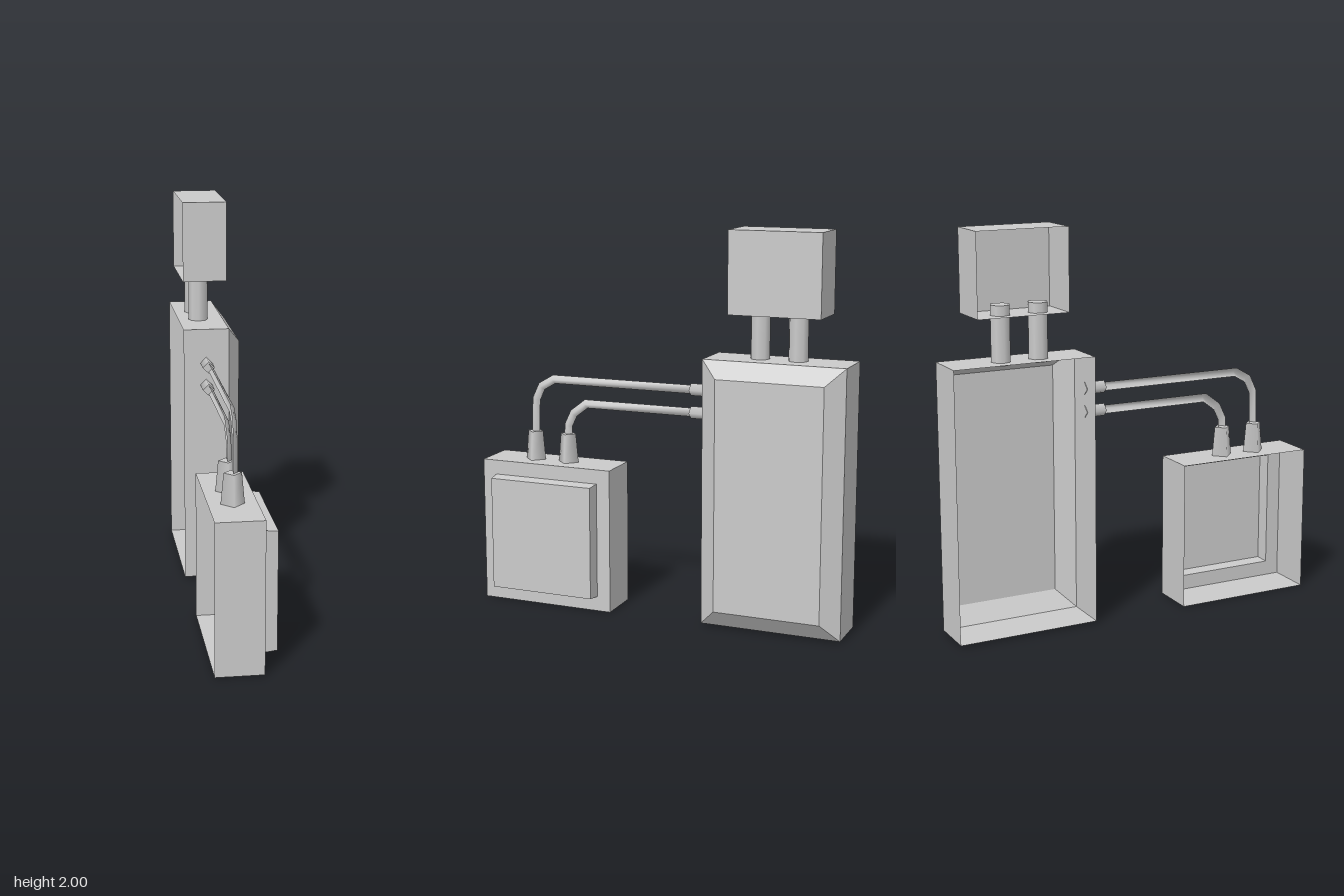
import * as THREE from 'three';

const mat = new THREE.MeshStandardMaterial({ color: 0xcccccc, side: THREE.DoubleSide });
const flatMat = new THREE.MeshStandardMaterial({ color: 0xcccccc, side: THREE.DoubleSide, flatShading: true });

// Hollow shell along +x from rectangles [x, y0, y1, z0, z1]; open at the first, capped at the last
function shell(name, sections) {
  const rings = sections.map(([x, y0, y1, z0, z1]) =>
    [[x, y0, z0], [x, y1, z0], [x, y1, z1], [x, y0, z1]]);
  const pos = [];
  const quad = (a, b, c, d) => pos.push(...a, ...b, ...c, ...a, ...c, ...d);
  for (let i = 0; i + 1 < rings.length; i++) {
    for (let k = 0; k < 4; k++) {
      const j = (k + 1) % 4;
      quad(rings[i][k], rings[i][j], rings[i + 1][j], rings[i + 1][k]);
    }
  }
  quad(...rings[rings.length - 1]);
  const geo = new THREE.BufferGeometry();
  geo.setAttribute('position', new THREE.Float32BufferAttribute(pos, 3));
  geo.computeVertexNormals();
  const mesh = new THREE.Mesh(geo, flatMat);
  mesh.name = name;
  return mesh;
}

// Half cable, open towards -x, swept along mitred [z, y] points
function cable(name, path, x, r) {
  const pts = path.map(([z, y]) => new THREE.Vector2(z, y));
  const pos = [], index = [];
  pts.forEach((p, i) => {
    const before = p.clone().sub(pts[Math.max(i - 1, 0)]).normalize();
    const after = pts[Math.min(i + 1, pts.length - 1)].clone().sub(p).normalize();
    const t = before.clone().add(after).normalize();
    const miter = r / Math.max(t.dot(i ? before : after), 0.5);
    const nz = t.y * miter, ny = -t.x * miter;
    pos.push(x, p.y + ny, p.x + nz, x + r, p.y, p.x, x, p.y - ny, p.x - nz);
    if (i + 1 < pts.length) {
      for (let k = 0; k < 2; k++) {
        const a = i * 3 + k;
        index.push(a, a + 1, a + 3, a + 1, a + 4, a + 3);
      }
    }
  });
  const geo = new THREE.BufferGeometry();
  geo.setAttribute('position', new THREE.Float32BufferAttribute(pos, 3));
  geo.setIndex(index);
  geo.computeVertexNormals();
  const mesh = new THREE.Mesh(geo, mat);
  mesh.name = name;
  return mesh;
}

function cylinder(name, rTop, rBottom, height, sides, x, y, z) {
  const mesh = new THREE.Mesh(new THREE.CylinderGeometry(rTop, rBottom, height, sides), mat);
  mesh.name = name;
  mesh.position.set(x, y, z);
  return mesh;
}

export function createModel() {
  const model = new THREE.Group();

  // Tall cabinet with a bevelled face
  model.add(shell('cabinet', [
    [-0.155, 0.01, 1.365, -0.98, -0.25],
    [0.08, 0.01, 1.365, -0.98, -0.25],
    [0.145, 0.1, 1.28, -0.89, -0.34],
  ]));

  // Upper box on two posts
  model.add(shell('topBox', [
    [-0.143, 1.59, 2, -0.85, -0.38],
    [0.085, 1.59, 2, -0.85, -0.38],
  ]));
  for (const z of [-0.505, -0.7]) {
    model.add(cylinder('post', 0.05, 0.05, 0.29, 8, -0.05, 1.495, z));
  }

  // Low box with a raised panel
  model.add(shell('lowBox', [
    [-0.155, 0, 0.755, 0.255, 0.98],
    [0.08, 0, 0.755, 0.255, 0.98],
    [0.08, 0.077, 0.68, 0.327, 0.905],
    [0.15, 0.083, 0.673, 0.334, 0.899],
  ]));

  // Tapered sockets on the low box
  for (const z of [0.73, 0.54]) {
    model.add(cylinder('socket', 0.043, 0.057, 0.152, 4, -0.038, 0.83, z));
  }

  // Plugs on the cabinet
  for (const y of [1.187, 1.07]) {
    const plug = cylinder('plug', 0.031, 0.031, 0.108, 4, -0.038, y, -0.199);
    plug.rotation.x = Math.PI / 2;
    model.add(plug);
  }

  // Cables joining sockets to plugs
  model.add(cable('upperCable',
    [[0.728, 0.9], [0.723, 1.075], [0.69, 1.145], [0.618, 1.187], [-0.15, 1.187]], -0.038, 0.022));
  model.add(cable('lowerCable',
    [[0.54, 0.9], [0.538, 0.95], [0.507, 1.015], [0.435, 1.07], [-0.15, 1.07]], -0.038, 0.022));

  return model;
}
